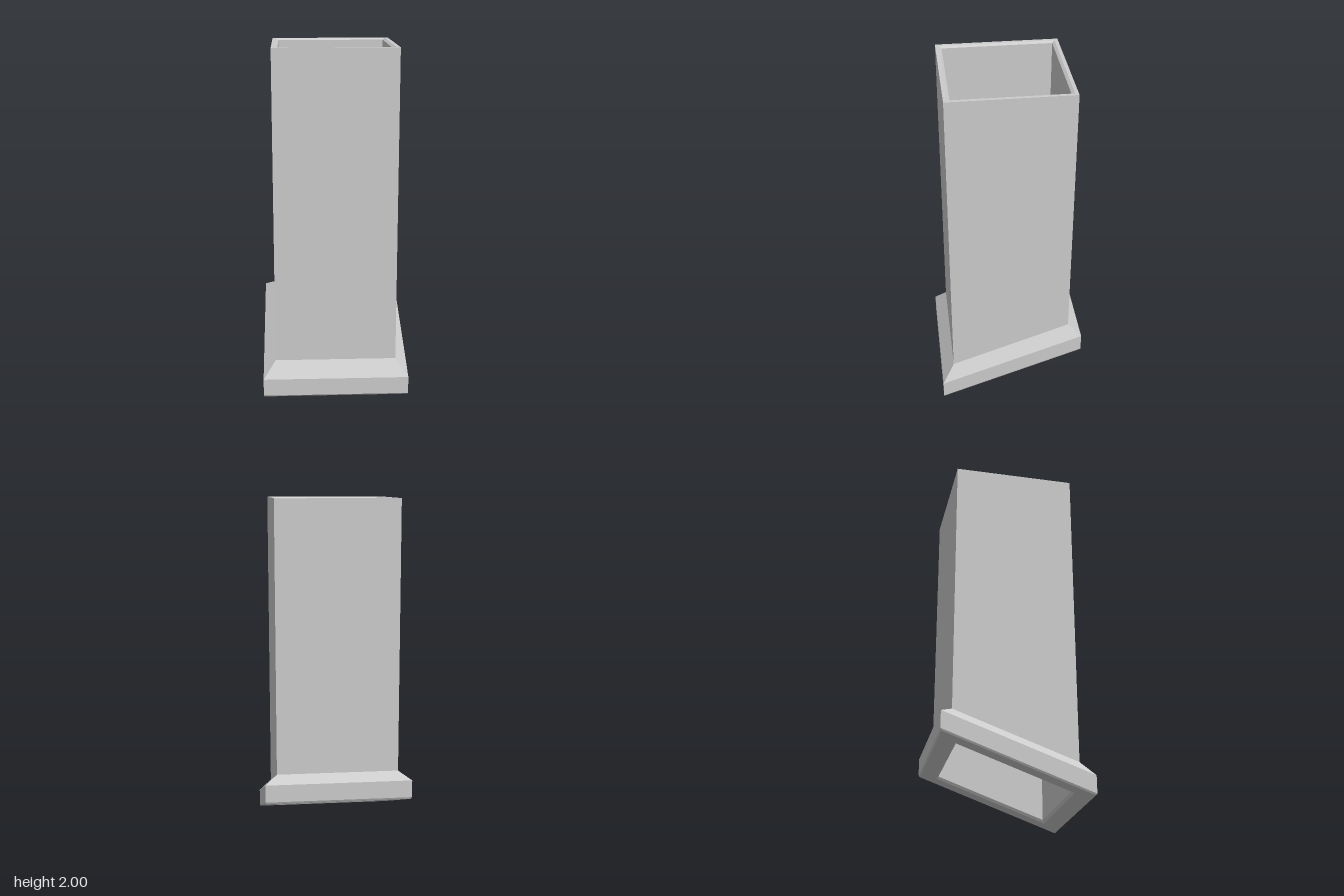
import * as THREE from 'three';

const SLOPE = 0.357; // the foot is cut at an angle, rising toward the back

// Square ring of four corners; sloped rings rise toward -z.
function ring(half, y, slope = SLOPE) {
  return [[1, 1], [1, -1], [-1, -1], [-1, 1]].map(([sx, sz]) =>
    new THREE.Vector3(sx * half, y - slope * sz * half, sz * half));
}

// Joins successive square rings with flat quads, facing outward when listed bottom to top.
function loft(name, rings, material) {
  const pos = [];
  for (let r = 0; r < rings.length - 1; r++) {
    const a = rings[r], b = rings[r + 1];
    for (let i = 0; i < 4; i++) {
      const j = (i + 1) % 4;
      for (const p of [a[i], a[j], b[j], a[i], b[j], b[i]]) pos.push(p.x, p.y, p.z);
    }
  }
  const geometry = new THREE.BufferGeometry();
  geometry.setAttribute('position', new THREE.Float32BufferAttribute(pos, 3));
  geometry.computeVertexNormals();
  const mesh = new THREE.Mesh(geometry, material);
  mesh.name = name;
  return mesh;
}

export function createModel() {
  const group = new THREE.Group();
  group.name = 'squareDuct';
  const material = new THREE.MeshStandardMaterial({
    color: 0xcccccc, flatShading: true, side: THREE.DoubleSide,
  });

  // Foot flange: slanted underside, small lower chamfer, upright edge, sloped top
  group.add(loft('footFlange', [
    ring(0.325, 0.15), ring(0.414, 0.15), ring(0.42, 0.16),
    ring(0.42, 0.26), ring(0.35, 0.325),
  ], material));

  // Outer shaft walls and the flat top rim
  group.add(loft('shaft', [
    ring(0.35, 0.325), ring(0.35, 2, 0), ring(0.33, 2, 0),
  ], material));

  // Hollow inside, slightly chamfered at both ends
  group.add(loft('innerWall', [
    ring(0.33, 2, 0), ring(0.315, 1.99, 0), ring(0.315, 0.165), ring(0.325, 0.15),
  ], material));

  return group;
}
